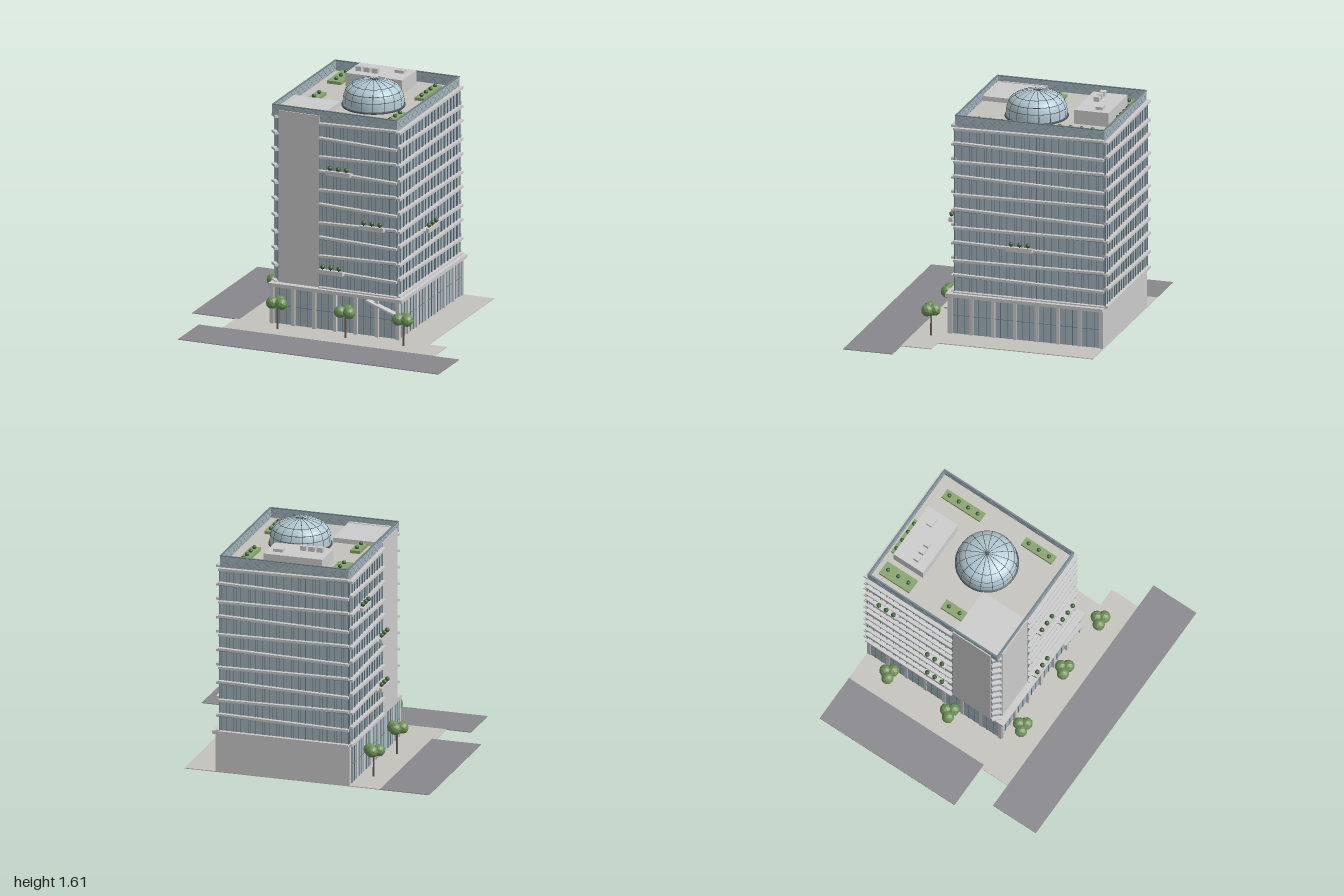
import * as THREE from 'three';

const mat = (color, extra = {}) => new THREE.MeshStandardMaterial({ color, ...extra });
const M = {
  grey: mat(0xcccccc), glass: mat(0xa3b5bd), frame: mat(0x6f8088), paving: mat(0xc4c2bc),
  road: mat(0x88888c), grass: mat(0x86a46c), shrub: mat(0x3f6238, { flatShading: true }),
  leaf: mat(0x6f9158, { flatShading: true }), trunk: mat(0x6b5a4a), dome: mat(0xb4cad4),
  dark: mat(0x4c5458),
};

export function createModel() {
  const root = new THREE.Group();
  root.name = 'officeTower';

  const add = (parent, name, geo, material) => {
    const m = new THREE.Mesh(geo, material);
    m.name = name;
    parent.add(m);
    return m;
  };
  // box given by its minimum and maximum on each axis
  const box = (parent, name, x0, x1, y0, y1, z0, z1, material) => {
    const m = add(parent, name, new THREE.BoxGeometry(x1 - x0, y1 - y0, z1 - z0), material);
    m.position.set((x0 + x1) / 2, (y0 + y1) / 2, (z0 + z1) / 2);
    return m;
  };
  const ball = (parent, name, r, x, y, z, material, detail = 0) => {
    const m = add(parent, name, new THREE.IcosahedronGeometry(r, detail), material);
    m.position.set(x, y, z);
    return m;
  };
  // group whose local x runs along a wall and local z points outwards
  const wall = (name, x, z, turn) => {
    const g = new THREE.Group();
    g.name = name;
    g.position.set(x, 0, z);
    g.rotation.y = turn;
    root.add(g);
    return g;
  };

  // Ground
  box(root, 'sidewalk', -0.66, 0.69, 0, 0.005, -0.8, 0.27, M.paving);
  box(root, 'frontSidewalk', -0.69, 0.82, 0, 0.005, 0.27, 0.48, M.paving);
  box(root, 'frontStreet', -0.86, 1, 0, 0.004, 0.48, 0.82, M.road);
  box(root, 'sideStreet', -1, -0.66, 0, 0.004, -0.8, 0.27, M.road);

  // Podium
  box(root, 'podiumGlass', -0.445, 0.465, 0.001, 0.27, -0.79, 0.25, M.glass);
  box(root, 'podiumBackWall', -0.45, 0.475, 0.001, 0.27, -0.8, -0.785, M.grey);
  box(root, 'podiumCornice', -0.45, 0.5, 0.262, 0.285, -0.8, 0.28, M.grey);
  const podiumWalls = [
    [wall('podiumFront', 0, 0.25, 0), -0.43, 0.465, 6, 0.02],
    [wall('podiumRight', 0.465, 0, Math.PI / 2), -0.255, 0.785, 7, 0.012],
    [wall('podiumLeft', -0.445, 0, -Math.PI / 2), -0.785, 0.25, 7, 0.005],
  ];
  for (const [g, a, b, bays, out] of podiumWalls) {
    const step = (b - a) / bays;
    for (let i = 0; i <= bays; i++) {
      const u = a + i * step;
      box(g, 'column', u - 0.012, u + 0.012, 0.001, 0.265, -0.01, out, M.grey);
      if (i < bays) for (const f of [0.33, 0.67]) {
        box(g, 'podiumMullion', u + f * step - 0.002, u + f * step + 0.002, 0.005, 0.262, 0, 0.004, M.frame);
      }
    }
    box(g, 'transom', a, b, 0.13, 0.134, 0, 0.004, M.frame);
  }
  const canopy = add(root, 'entranceCanopy', new THREE.BoxGeometry(0.235, 0.012, 0.05), M.grey);
  canopy.position.set(0.36, 0.215, 0.27);
  canopy.rotation.z = -0.34;

  // Tower body with one cut corner
  const plan = new THREE.Shape([[-0.445, -0.18], [-0.395, -0.23], [0.445, -0.23], [0.445, 0.8], [-0.445, 0.8]]
    .map(([x, y]) => new THREE.Vector2(x, y)));
  const body = add(root, 'towerGlass', new THREE.ExtrudeGeometry(plan, { depth: 1.145, bevelEnabled: false })
    .rotateX(-Math.PI / 2), M.glass);
  body.position.y = 0.28;
  box(root, 'roofDeck', -0.44, 0.44, 1.42, 1.43, -0.795, 0.22, M.paving);

  // Solid stair core
  box(root, 'coreFrontWall', -0.395, -0.105, 0.283, 1.465, 0.2, 0.237, M.grey);
  box(root, 'coreSideWall', -0.452, -0.42, 0.283, 1.465, -0.12, 0.18, M.grey);
  box(root, 'coreRoof', -0.436, -0.105, 1.42, 1.462, -0.115, 0.222, M.grey);

  // Facades: slanting floor bands and mullions
  const faces = {
    front: [wall('frontFacade', 0, 0.23, 0), -0.105, 0.45, 11],
    right: [wall('rightFacade', 0.445, 0, Math.PI / 2), -0.235, 0.8, 20],
    back: [wall('backFacade', 0, -0.8, Math.PI), -0.45, 0.45, 18],
    left: [wall('leftFacade', -0.445, 0, -Math.PI / 2), -0.8, -0.12, 13],
    corner: [wall('cutCornerFacade', -0.42, 0.205, -Math.PI / 4), -0.033, 0.033, 1],
  };
  const floorY = (i) => 0.285 + i * 0.1135;
  for (const [key, [g, a, b, n]] of Object.entries(faces)) {
    const tilt = key === 'corner' ? 0 : 0.016 / (b - a);
    for (let i = 0; i <= 10; i++) {
      const band = box(g, 'floorBand', a, b, floorY(i) - 0.008, floorY(i) + 0.008, -0.01, 0.027, M.grey);
      band.rotation.z = (i % 2 ? -1 : 1) * (i ? tilt : 0);
      if (key !== 'corner') box(g, 'bandShadowGap', a, b, floorY(i) - 0.013, floorY(i) - 0.009, 0, 0.004, M.frame);
    }
    for (let i = 0; i <= n; i++) {
      const u = a + 0.004 + (i / n) * (b - a - 0.008);
      box(g, 'mullion', u - 0.002, u + 0.002, 0.285, 1.42, 0, 0.007, M.frame);
      // secondary mullions alternate between storeys
      if (i < n && n > 1) for (let f = i % 2; f < 10; f += 2) {
        box(g, 'halfMullion', u + 0.015, u + 0.018, floorY(f), floorY(f + 1), 0, 0.004, M.frame);
      }
    }
  }

  // Planted balconies: wall, centre along wall, height
  const balconies = [
    ['front', 0.05, 1.095], ['front', 0.29, 0.75], ['front', -0.003, 0.41],
    ['right', 0.232, 0.635], ['left', -0.615, 1.19], ['left', -0.23, 0.85], ['left', -0.23, 0.51],
  ];
  for (const [key, u, y] of balconies) {
    const g = faces[key][0];
    box(g, 'balconySlab', u - 0.085, u + 0.085, y - 0.013, y, 0, 0.065, M.grey);
    box(g, 'balconyPlanter', u - 0.085, u + 0.085, y - 0.013, y + 0.017, 0.045, 0.066, M.grey);
    for (const d of [-0.058, 0, 0.058]) {
      box(g, 'shrubStem', u + d - 0.003, u + d + 0.003, y + 0.01, y + 0.03, 0.052, 0.058, M.trunk);
      ball(g, 'balconyShrub', 0.016, u + d, y + 0.036, 0.055, M.shrub, 1);
    }
  }

  // Parapet with a light diagonal lattice
  const parapets = [
    [wall('parapetFront', 0, 0.23, 0), -0.445, 0.445],
    [wall('parapetRight', 0.445, 0, Math.PI / 2), -0.23, 0.8],
    [wall('parapetBack', 0, -0.8, Math.PI), -0.445, 0.445],
    [wall('parapetLeft', -0.445, 0, -Math.PI / 2), -0.8, 0.23],
  ];
  for (const [g, a, b] of parapets) {
    box(g, 'parapetPanel', a, b, 1.425, 1.5, -0.01, 0, M.glass);
    box(g, 'parapetRail', a, b, 1.497, 1.502, -0.011, 0.001, M.frame);
    const n = Math.round((b - a) / 0.075), step = (b - a) / n;
    for (let i = 0; i < n; i++) for (const s of [-1, 1]) {
      const bar = add(g, 'latticeBar', new THREE.BoxGeometry(0.09, 0.0015, 0.0125), M.frame);
      bar.position.set(a + (i + 0.5) * step, 1.462, -0.005);
      bar.rotation.z = s * 0.7;
    }
  }

  // Glass dome with ribs and rings
  const dome = new THREE.Group();
  dome.name = 'dome';
  dome.position.set(0.085, 0, -0.215);
  root.add(dome);
  const curve = new THREE.SplineCurve([[0.2, 1.43], [0.199, 1.48], [0.192, 1.515], [0.175, 1.55], [0.135, 1.58],
    [0.07, 1.602], [0, 1.61]].map(([x, y]) => new THREE.Vector2(x, y)));
  const profile = curve.getPoints(20);
  profile[20].x = 0;
  add(dome, 'domeGlass', new THREE.LatheGeometry(profile, 48), M.dome);
  const ring = (name, r, y, t) => {
    const m = add(dome, name, new THREE.TorusGeometry(r, t, 6, 48).rotateX(Math.PI / 2), M.dark);
    m.position.y = y;
  };
  ring('domeBaseRing', 0.203, 1.435, 0.008);
  for (const i of [5, 9, 13]) ring('domeRing', profile[i].x, profile[i].y, 0.002);
  const ribPath = new THREE.CatmullRomCurve3(profile.map((p) => new THREE.Vector3(p.x, p.y, 0)));
  for (let i = 0; i < 16; i++) {
    add(dome, 'domeRib', new THREE.TubeGeometry(ribPath, 20, 0.002, 5), M.dark).rotation.y = i * Math.PI / 8;
  }

  // Rooftop plant room and units
  box(root, 'plantRoom', -0.24, 0.165, 1.43, 1.525, -0.735, -0.5, M.grey);
  for (const x of [-0.178, -0.12, -0.062]) box(root, 'roofUnit', x - 0.021, x + 0.021, 1.525, 1.557, -0.603, -0.567, M.grey);
  box(root, 'roofVent', 0.052, 0.118, 1.525, 1.545, -0.678, -0.632, M.grey);

  // Roof gardens: x range, z range, shrub count
  const beds = [
    [-0.38, -0.28, -0.755, -0.515, 3], [-0.21, 0.065, -0.775, -0.737, 4], [0.29, 0.357, -0.715, -0.415, 4],
    [-0.35, -0.28, -0.285, -0.115, 2], [0.31, 0.373, -0.1, 0.14, 3],
  ];
  for (const [x0, x1, z0, z1, n] of beds) {
    box(root, 'roofGarden', x0, x1, 1.43, 1.45, z0, z1, M.grass);
    for (let i = 0; i < n; i++) {
      const t = (i + 0.5) / n, alongX = x1 - x0 > z1 - z0;
      ball(root, 'roofShrub', 0.014, alongX ? x0 + t * (x1 - x0) : (x0 + x1) / 2, 1.459,
        alongX ? (z0 + z1) / 2 : z0 + t * (z1 - z0), M.shrub, 1);
    }
  }

  // Street trees
  for (const [x, z] of [[-0.54, -0.57], [-0.54, -0.09], [-0.35, 0.36], [0.135, 0.36], [0.55, 0.36]]) {
    const tree = new THREE.Group();
    tree.name = 'tree';
    tree.position.set(x, 0, z);
    root.add(tree);
    add(tree, 'trunk', new THREE.CylinderGeometry(0.005, 0.007, 0.17, 6), M.trunk).position.y = 0.085;
    for (const [dx, dz] of [[-0.032, 0.015], [0.032, 0.015], [0.004, -0.025]]) {
      ball(tree, 'crown', 0.042, dx, 0.185, dz, M.leaf, 1);
    }
  }
  return root;
}
